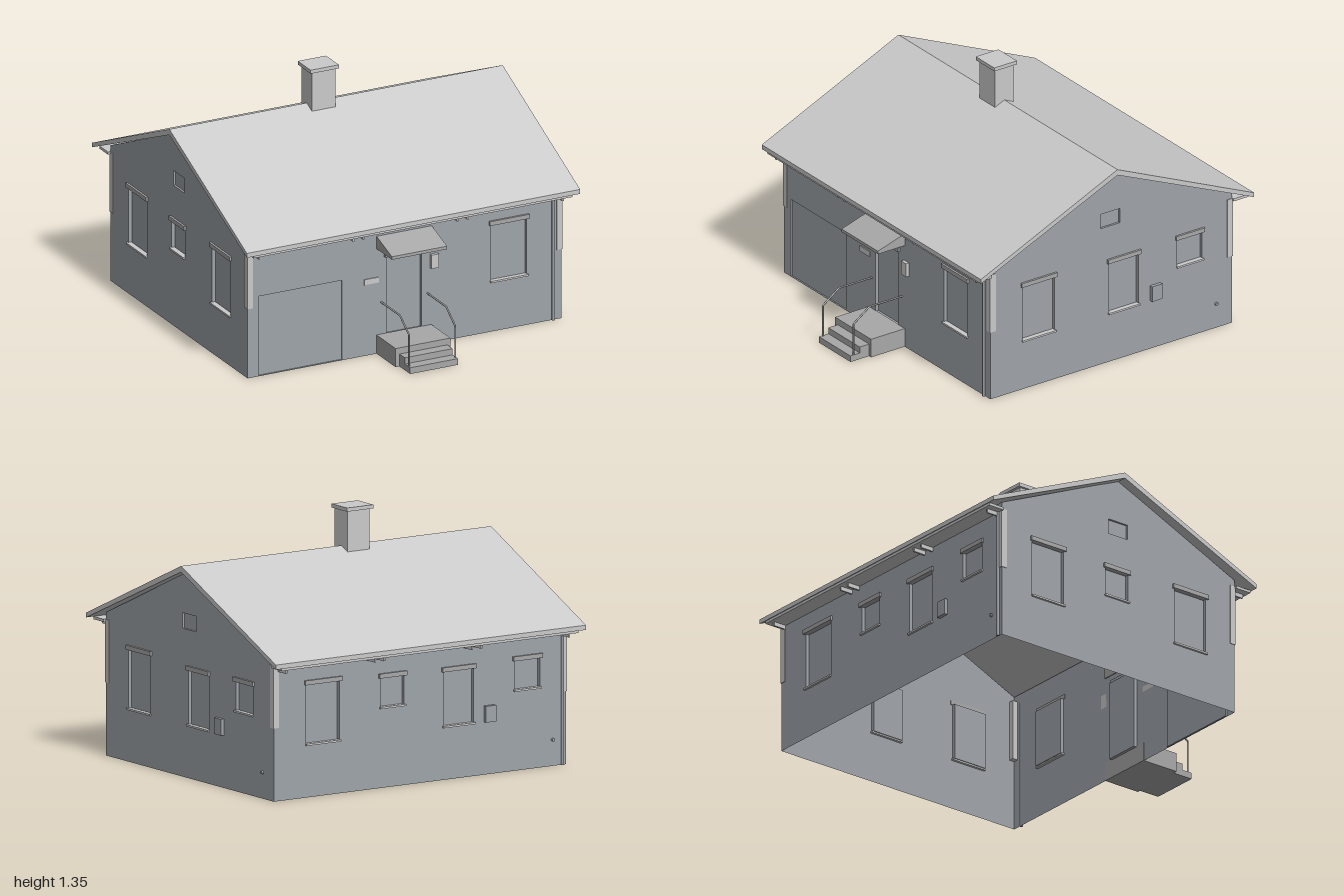
import * as THREE from 'three';

const mat = (name, color, side = THREE.FrontSide) => {
  const m = new THREE.MeshStandardMaterial({ color, side });
  m.name = name;
  return m;
};

export function createModel() {
  const house = new THREE.Group();
  house.name = 'house';
  const wallMat = mat('blue grey render', 0x9fa4aa, THREE.DoubleSide);
  const trimMat = mat('light grey trim', 0xcacaca);
  const concreteMat = mat('concrete', 0xa8a8a8);

  const add = (parent, name, geo, material) => {
    const m = new THREE.Mesh(geo, material);
    m.name = name;
    parent.add(m);
    return m;
  };
  // box given by its lower and upper limits on each axis
  const box = (parent, name, [x0, x1], [y0, y1], [z0, z1], material) => {
    const m = add(parent, name, new THREE.BoxGeometry(x1 - x0, y1 - y0, z1 - z0), material);
    m.position.set((x0 + x1) / 2, (y0 + y1) / 2, (z0 + z1) / 2);
    return m;
  };
  // profile of [z, y] points extruded along x
  const prism = (name, pts, x0, x1, material) => {
    const shape = new THREE.Shape(pts.map(([z, y]) => new THREE.Vector2(-z, y)));
    const geo = new THREE.ExtrudeGeometry(shape, { depth: x1 - x0, bevelEnabled: false });
    geo.rotateY(Math.PI / 2).translate(x0, 0, 0);
    return add(house, name, geo, material);
  };

  const X = 0.925, ZF = 0.663, ZB = -0.893, RIDGE = -0.115, EAVE = 0.765;

  // One wall in its own plane, with +z pointing outward. Openings are [u0, u1, v0, v1, depth].
  const wall = (name, outline, openings, angle, x, z) => {
    const g = new THREE.Group();
    g.name = name;
    g.position.set(x, 0, z);
    g.rotation.y = angle;
    const shape = new THREE.Shape(outline.map(p => new THREE.Vector2(...p)));
    for (const [u0, u1, v0, v1, depth = 0.02] of openings) {
      shape.holes.push(new THREE.Path([[u0, v0], [u0, v1], [u1, v1], [u1, v0]].map(p => new THREE.Vector2(...p))));
      // recessed pane with its reveals: a box without the outer face
      const pane = box(g, 'recessedPane', [u0, u1], [v0, v1], [-depth, 0], wallMat);
      const idx = Array.from(pane.geometry.index.array);
      idx.splice(24, 6);
      pane.geometry.setIndex(idx);
      pane.geometry.clearGroups();
    }
    add(g, 'wallSurface', new THREE.ShapeGeometry(shape), wallMat);
    house.add(g);
    return g;
  };
  // lintel and sill around a window opening
  const dress = (g, [u0, u1, v0, v1]) => {
    box(g, 'lintel', [u0 - 0.012, u1 + 0.012], [v1, v1 + 0.024], [-0.005, 0.012], concreteMat);
    box(g, 'sill', [u0 - 0.006, u1 + 0.006], [v0 - 0.008, v0 + 0.002], [-0.015, 0.012], trimMat);
  };
  const meterBox = (g, u) => box(g, 'meterBox', [u, u + 0.065], [0.28, 0.367], [0, 0.02], wallMat);
  const stubPipe = (g, u) => {
    const p = add(g, 'stubPipe', new THREE.CylinderGeometry(0.009, 0.009, 0.014, 12).rotateX(Math.PI / 2), wallMat);
    p.position.set(u, 0.14, 0.004);
  };

  // Walls
  const straight = [[-X, 0], [X, 0], [X, 0.762], [-X, 0.762]];
  const gable = s => [[s * ZB, 0], [s * ZF, 0], [s * ZF, 0.762], [s * RIDGE, 1.108], [s * ZB, 0.762]];

  const frontWindow = [0.51, 0.72, 0.285, 0.6];
  const front = wall('frontWall', straight,
    [frontWindow, [-0.86, -0.368, 0.003, 0.45, 0.008], [-0.105, 0.1, 0.1, 0.537]], 0, 0, ZF);
  dress(front, frontWindow);

  const backWindows = [[-0.72, -0.51, 0.285, 0.6], [-0.25, -0.1, 0.43, 0.585], [0.15, 0.34, 0.285, 0.575], [0.6, 0.76, 0.43, 0.585]];
  const back = wall('backWall', straight, backWindows, Math.PI, 0, ZB);
  backWindows.forEach(w => dress(back, w));
  meterBox(back, 0.405);
  stubPipe(back, 0.84);

  const leftWindows = [[-0.455, -0.25, 0.285, 0.597], [0.1, 0.29, 0.285, 0.575], [0.54, 0.7, 0.43, 0.585]];
  const left = wall('leftGable', gable(-1), [...leftWindows, [0.045, 0.172, 0.79, 0.873, 0.012]], Math.PI / 2, X, 0);
  leftWindows.forEach(w => dress(left, w));
  meterBox(left, 0.365);
  stubPipe(left, 0.79);

  const rightWindows = [[-0.69, -0.48, 0.285, 0.597], [-0.2, -0.05, 0.43, 0.585], [0.26, 0.47, 0.285, 0.597]];
  const right = wall('rightGable', gable(1), [...rightWindows, [-0.18, -0.053, 0.79, 0.873, 0.012]], -Math.PI / 2, -X, 0);
  rightWindows.forEach(w => dress(right, w));

  // Light panels on the upper half of each corner
  for (const s of [-1, 1]) for (const [z, d] of [[ZF, 1], [ZB, -1]]) {
    const span = (a, b) => [Math.min(a, b), Math.max(a, b)];
    box(house, 'cornerPanel', span(s * (X - 0.03), s * (X + 0.004)), [0.39, 0.725],
      span(z - d * 0.032, z + d * 0.004), trimMat);
  }

  // Roof: two slopes as one folded slab, with eave boards and brackets
  const ZE = -0.995;
  prism('roof', [[EAVE, 0.725], [EAVE, 0.75], [RIDGE, 1.138], [ZE, 0.75], [ZE, 0.725], [RIDGE, 1.106]].reverse(), -0.982, 0.982, trimMat);
  for (const [z, d] of [[ZF, 1], [ZB, -1]]) {
    const run = (a, b) => [z + d * a, z + d * b].sort((p, q) => p - q);
    box(house, 'eaveBoard', [-0.94, 0.94], [0.712, 0.727], run(0, 0.095), trimMat);
    for (const x of [-0.895, -0.34, -0.28, 0.275, 0.335, 0.895])
      box(house, 'eaveBracket', [x - 0.005, x + 0.005], [0.69, 0.713], run(0, 0.075), trimMat);
  }

  // Downpipes
  for (const [x, z] of [[0.873, ZF + 0.006], [-0.9, ZB - 0.006]]) {
    const p = add(house, 'downpipe', new THREE.CylinderGeometry(0.008, 0.008, 0.715, 10), wallMat);
    p.position.set(x, 0.3575, z);
  }

  // Chimney
  box(house, 'chimneyStack', [-0.173, -0.033], [1.06, 1.332], [-0.173, -0.055], trimMat);
  box(house, 'chimneyCap', [-0.187, -0.021], [1.33, 1.35], [-0.188, -0.042], trimMat);

  // Entrance: lintel, canopy, letterbox and name plate
  box(house, 'doorLintel', [-0.12, 0.116], [0.537, 0.562], [ZF - 0.005, ZF + 0.014], wallMat);
  prism('canopy', [[ZF - 0.005, 0.59], [0.838, 0.59], [0.838, 0.607], [ZF - 0.005, 0.662]], -0.165, 0.16, concreteMat);
  box(house, 'letterbox', [0.15, 0.195], [0.425, 0.502], [ZF, ZF + 0.018], trimMat);
  box(house, 'wallPlate', [-0.24, -0.153], [0.4, 0.43], [ZF, ZF + 0.005], trimMat);

  // Front steps
  box(house, 'landing', [-0.165, 0.158], [0, 0.105], [ZF - 0.003, 0.88], concreteMat);
  box(house, 'middleStep', [-0.142, 0.14], [0, 0.07], [0.87, 0.94], concreteMat);
  box(house, 'lowerStep', [-0.142, 0.14], [0, 0.035], [0.87, 1.0], concreteMat);

  // Handrails with a front post, a slope and a level run to the wall
  for (const x of [-0.137, 0.135]) {
    const path = new THREE.CurvePath();
    const pts = [[0.03, 0.978], [0.212, 0.978], [0.285, 0.875], [0.285, ZF]].map(([y, z]) => new THREE.Vector3(x, y, z));
    for (let i = 0; i < 3; i++) path.add(new THREE.LineCurve3(pts[i], pts[i + 1]));
    add(house, 'handrail', new THREE.TubeGeometry(path, 48, 0.005, 8), concreteMat);
  }
  return house;
}
